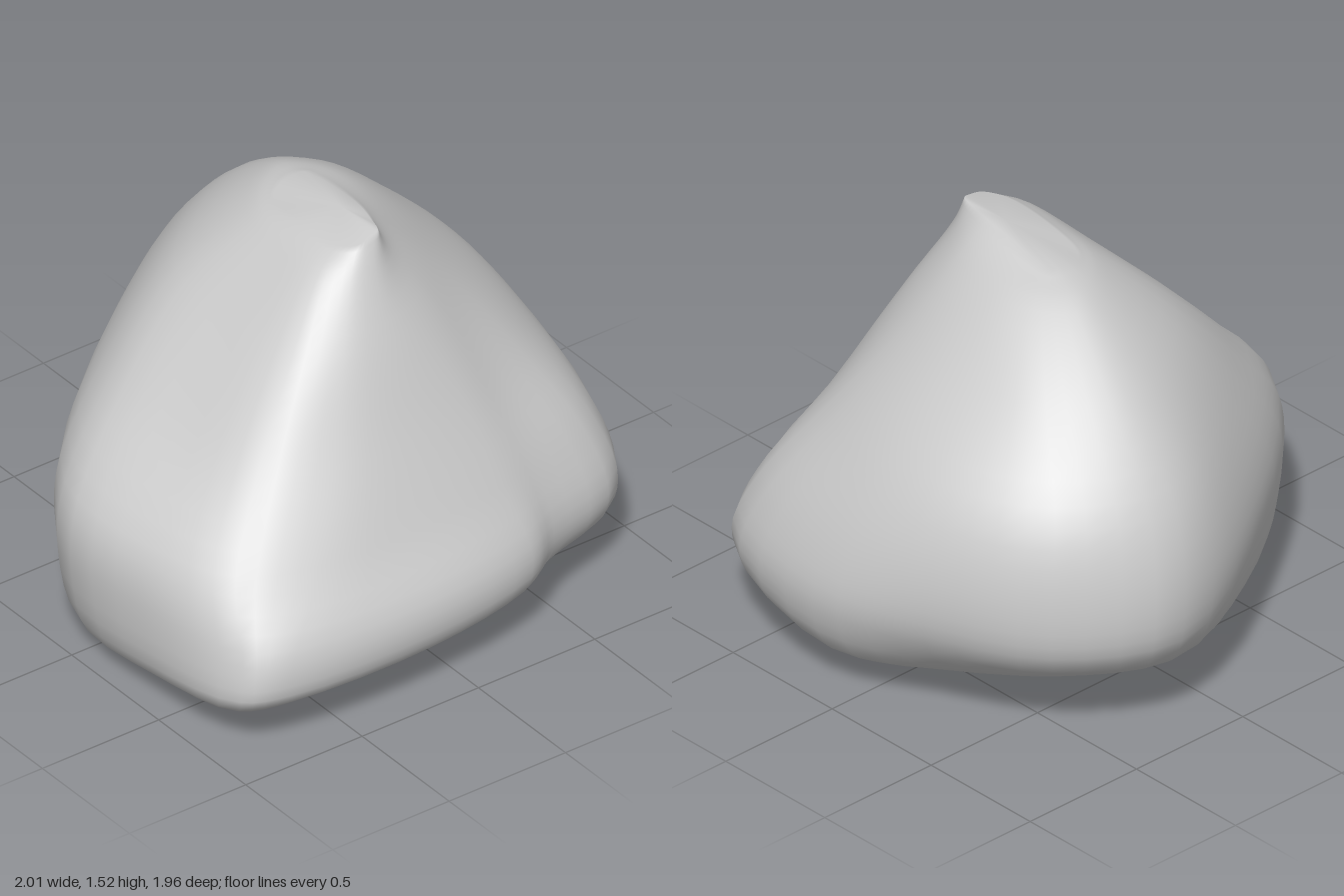
import * as THREE from 'three';
import { mergeVertices } from 'three/addons/utils/BufferGeometryUtils.js';

// Level outlines as x,z pairs, running from the front round by +x, the back and -x.
const levels = [0.36, 0.6, 0.9, 1.2, 1.42];
const rim = [-0.15, 0.93, 0.28, 0.87, 0.45, 0.77, 0.79, 0.65, 0.89, 0.1, 0.68, -0.29, 0.47, -0.57,
  0.15, -0.75, -0.38, -0.55, -0.87, -0.12, -0.94, 0.4, -0.9, 0.83, -0.74, 0.91];
const outlines = [
  [-0.15, 0.97, 0.31, 0.9, 0.46, 0.82, 0.84, 0.68, 0.99, 0.11, 0.87, -0.33, 0.65, -0.74,
    0.25, -0.95, -0.38, -0.66, -0.97, -0.12, -0.99, 0.4, -0.89, 0.84, -0.74, 0.93],
  [-0.15, 0.84, 0.26, 0.8, 0.44, 0.74, 0.79, 0.59, 0.95, 0.08, 0.89, -0.36, 0.68, -0.76,
    0.25, -0.98, -0.4, -0.67, -0.94, -0.13, -0.95, 0.35, -0.82, 0.7, -0.55, 0.82],
  [-0.1, 0.685, 0.21, 0.65, 0.37, 0.58, 0.62, 0.41, 0.79, 0.02, 0.79, -0.36, 0.61, -0.71,
    0.22, -0.89, -0.25, -0.66, -0.67, -0.22, -0.68, 0.18, -0.6, 0.54, -0.36, 0.66],
  [-0.05, 0.54, 0.11, 0.51, 0.25, 0.43, 0.41, 0.25, 0.51, 0, 0.52, -0.26, 0.44, -0.48,
    0.2, -0.64, -0.1, -0.53, -0.37, -0.25, -0.41, 0.1, -0.37, 0.42, -0.22, 0.52],
  [0, 0.41, 0.07, 0.38, 0.14, 0.31, 0.21, 0.2, 0.26, 0.03, 0.27, -0.12, 0.23, -0.24,
    0.13, -0.33, 0, -0.28, -0.13, -0.12, -0.18, 0.1, -0.18, 0.32, -0.1, 0.4],
];

function ring(pairs, height) {
  const pts = [];
  for (let i = 0; i < pairs.length; i += 2) {
    const x = pairs[i], z = pairs[i + 1];
    pts.push(new THREE.Vector3(x, height(x, z), z));
  }
  return pts;
}

function boulderGeometry(columns = 52, rows = 32) {
  const bottom = new THREE.Vector3(-0.2, 0, -0.18);
  const top = new THREE.Vector3(0.05, 1.515, 0.14);

  // The lower rim rises to the front, the back and the +x side
  const rimRing = ring(rim, (x, z) =>
    0.04 + 0.16 * Math.max(z, 0) + 0.17 * Math.max(-z - 0.05, 0) + 0.1 * Math.max(x, 0));
  const rings = [
    rimRing.map((p) => p.clone().lerp(bottom, 0.5)),
    rimRing,
    ...outlines.map((o, i) => ring(o, () => levels[i])),
  ];
  // The crest is a narrow ridge running front to back, dipping to -x and -z
  rings.push(rings[rings.length - 1].map((p) => {
    const x = 0.05 + (p.x - 0.04) * (p.x > 0.04 ? 0.3 : 0.6);
    const z = THREE.MathUtils.clamp(p.z * 0.9, -0.16, 0.35);
    return new THREE.Vector3(x,
      1.52 - 0.25 * Math.max(0, 0.05 - x) - 0.16 * Math.max(0, 0.13 - z), z);
  }));
  const loops = rings.map((r) => new THREE.CatmullRomCurve3(r, true));

  // Smooth upright curves through all the rings, closed by a fan at each end
  const positions = [...bottom.toArray(), ...top.toArray()], index = [];
  for (let i = 0; i < columns; i++) {
    const side = new THREE.CatmullRomCurve3(loops.map((l) => l.getPoint(i / columns)));
    for (let j = 0; j <= rows; j++) positions.push(...side.getPoint(j / rows).toArray());
  }
  for (let i = 0; i < columns; i++) {
    const a0 = 2 + i * (rows + 1), b0 = 2 + ((i + 1) % columns) * (rows + 1);
    index.push(0, b0, a0, 1, a0 + rows, b0 + rows);
    for (let j = 0; j < rows; j++) {
      const a = a0 + j, b = b0 + j;
      index.push(a, b, b + 1, a, b + 1, a + 1);
    }
  }
  const geometry = new THREE.BufferGeometry();
  geometry.setAttribute('position', new THREE.Float32BufferAttribute(positions, 3));
  geometry.setIndex(index);
  const merged = mergeVertices(geometry, 1e-5);
  merged.computeVertexNormals();
  return merged;
}

export function createModel() {
  const model = new THREE.Group();
  model.name = 'rock';
  const boulder = new THREE.Mesh(
    boulderGeometry(), new THREE.MeshStandardMaterial({ color: 0xcccccc }));
  boulder.name = 'boulder';
  model.add(boulder);
  return model;
}
